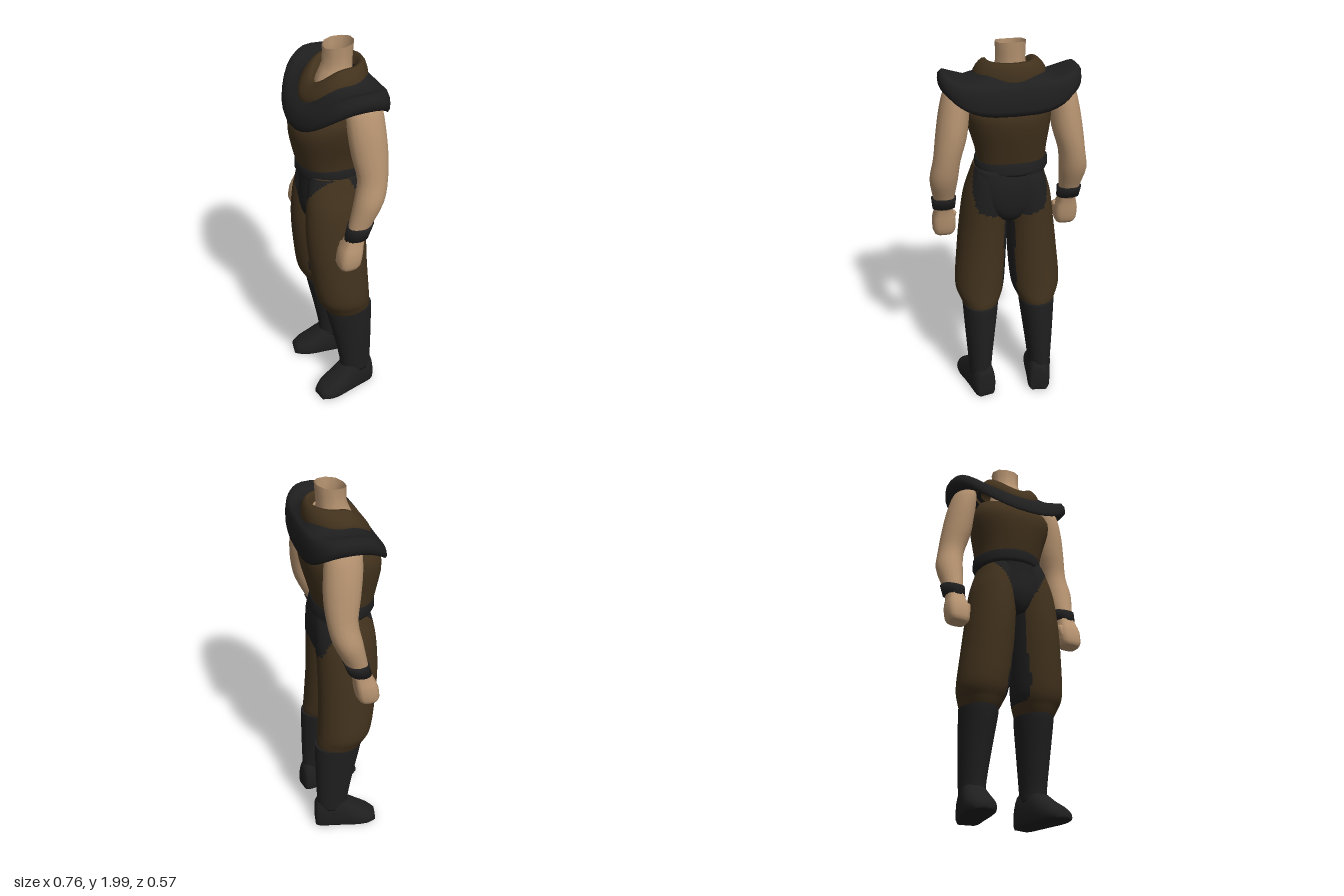
import * as THREE from 'three';

const skin = new THREE.MeshStandardMaterial({ color: 0xb79471, side: THREE.DoubleSide });
skin.name = 'skin';
const brown = new THREE.MeshStandardMaterial({ color: 0x42321d, side: THREE.DoubleSide });
brown.name = 'brown cloth';
const dark = new THREE.MeshStandardMaterial({ color: 0x1f1f1f, side: THREE.DoubleSide });
dark.name = 'dark leather';

// Horizontal ring: [x, y, z, half width, front depth, back depth, front lift, back lift]
function ring([x, y, z, w, f, b, yf = 0, yb = 0], n, power = 1, backPower = power) {
  return Array.from({ length: n }, (_, j) => {
    const a = (j / n) * Math.PI * 2, c = Math.cos(a), s = Math.sin(a);
    const soft = (v) => Math.sign(v) * Math.pow(Math.abs(v), s > 0 ? power : backPower);
    return new THREE.Vector3(x + w * soft(c), y + (s > 0 ? yf : yb) * s * s, z + (s > 0 ? f : b) * soft(s));
  });
}

// Smoothly inserts k steps between neighbouring specs
function dense(specs, k) {
  const out = [];
  for (let i = 0; i < specs.length - 1; i++) {
    const p0 = specs[Math.max(0, i - 1)], p1 = specs[i], p2 = specs[i + 1], p3 = specs[Math.min(specs.length - 1, i + 2)];
    for (let q = 0; q < k; q++) {
      const t = q / k;
      out.push(p1.map((v, m) => v + 0.5 * t * (p2[m] - p0[m] + t * (2 * p0[m] - 5 * v + 4 * p2[m] - p3[m]
        + t * (3 * (v - p2[m]) + p3[m] - p0[m])))));
    }
  }
  out.push(specs[specs.length - 1]);
  return out;
}

// Skins loops of points; pick(centre) chooses a material index for each quad
function loft(name, loops, mats, caps = true, pick = () => 0) {
  const n = loops[0].length, pts = loops.flat();
  const faces = mats.map(() => []);
  for (let i = 0; i < loops.length - 1; i++) {
    for (let j = 0; j < n; j++) {
      const a = i * n + j, b = i * n + ((j + 1) % n), c = b + n, d = a + n;
      const mid = pts[a].clone().add(pts[b]).add(pts[c]).add(pts[d]).multiplyScalar(0.25);
      faces[pick(mid)].push(a, d, c, a, c, b);
    }
  }
  if (caps) {
    for (const [start, flip] of [[0, false], [(loops.length - 1) * n, true]]) {
      const mid = new THREE.Vector3();
      for (let j = 0; j < n; j++) mid.addScaledVector(pts[start + j], 1 / n);
      const m = pts.push(mid) - 1;
      for (let j = 0; j < n; j++) {
        const a = start + j, b = start + ((j + 1) % n);
        faces[0].push(m, flip ? b : a, flip ? a : b);
      }
    }
  }
  const geo = new THREE.BufferGeometry().setFromPoints(pts);
  geo.setIndex(faces.flat());
  let at = 0;
  faces.forEach((f, m) => { geo.addGroup(at, f.length, m); at += f.length; });
  geo.computeVertexNormals();
  const mesh = new THREE.Mesh(geo, mats.length > 1 ? mats : mats[0]);
  mesh.name = name;
  return mesh;
}

const tube = (name, specs, mat, n = 24, k = 3, caps = true, power = 1, backPower = power) =>
  loft(name, dense(specs, k).map((s) => ring(s, n, power, backPower)), [mat], caps);

function makeLeg(s) {
  const leg = new THREE.Group();
  leg.name = s > 0 ? 'leftLeg' : 'rightLeg';

  // Baggy trousers with a dark brief and a dark inner panel
  const specs = [
    [s * 0.154, 0.53, -0.01, 0.082, 0.11, 0.11],
    [s * 0.152, 0.58, 0.0, 0.106, 0.13, 0.125],
    [s * 0.15, 0.66, 0.02, 0.13, 0.146, 0.138],
    [s * 0.135, 0.85, 0.035, 0.13, 0.158, 0.145],
    [s * 0.122, 1.02, 0.04, 0.124, 0.165, 0.15],
    [s * 0.108, 1.18, 0.03, 0.115, 0.168, 0.145],
    [s * 0.09, 1.29, 0.015, 0.1, 0.165, 0.125],
    [s * 0.08, 1.35, 0.01, 0.09, 0.15, 0.1],
  ];
  const pick = (p) => {
    const x = p.x * s;
    const top = p.z > 0 ? 1.04 + 1.9 * Math.abs(x) : 1.08 + 0.3 * Math.abs(x) + 2.2 * Math.max(0, p.z + 0.1);
    const inner = x < 0.062 && p.y > 0.6 && p.z < 0.14 && p.z > -0.05;
    return p.y > top || inner ? 1 : 0;
  };
  leg.add(loft('trouserLeg', dense(specs, 14).map((r) => ring(r, 64)), [brown, dark], true, pick));

  // Boot shaft
  leg.add(tube('bootShaft', [
    [s * 0.165, 0.12, -0.045, 0.062, 0.085, 0.085],
    [s * 0.165, 0.19, -0.045, 0.064, 0.086, 0.09],
    [s * 0.16, 0.36, -0.03, 0.079, 0.104, 0.108],
    [s * 0.154, 0.52, -0.014, 0.093, 0.124, 0.125],
    [s * 0.154, 0.56, -0.012, 0.094, 0.124, 0.125],
  ], dark));

  // Foot: flat-soled sections from heel to toe
  const sections = [[-0.1, 0.042, 0.13], [-0.075, 0.06, 0.18], [0.0, 0.066, 0.205], [0.07, 0.072, 0.16],
    [0.13, 0.077, 0.112], [0.19, 0.07, 0.075], [0.235, 0.042, 0.042]];
  const loops = dense(sections, 2).map(([z, w, h]) => Array.from({ length: 20 }, (_, j) => {
    const a = (j / 20) * Math.PI * 2, c = Math.cos(a);
    return new THREE.Vector3(w * Math.sign(c) * Math.pow(Math.abs(c), 0.7), Math.max(0, h * (0.3 - 0.7 * Math.sin(a))), z);
  }));
  const foot = loft('foot', loops, [dark]);
  foot.position.set(s * 0.165, 0.005, -0.045);
  foot.rotation.y = s * 0.19;
  leg.add(foot);
  if (s < 0) leg.position.z = -0.012;
  return leg;
}

function makeArm(s) {
  const arm = new THREE.Group();
  arm.name = s > 0 ? 'leftArm' : 'rightArm';
  arm.add(tube('armSkin', [
    [s * 0.325, 1.12, 0.03, 0.046, 0.05, 0.05],
    [s * 0.328, 1.2, 0.005, 0.056, 0.058, 0.058],
    [s * 0.33, 1.31, -0.035, 0.071, 0.075, 0.07],
    [s * 0.315, 1.42, -0.058, 0.068, 0.078, 0.072],
    [s * 0.29, 1.54, -0.052, 0.077, 0.092, 0.088],
    [s * 0.272, 1.66, -0.042, 0.075, 0.096, 0.092],
    [s * 0.255, 1.76, -0.035, 0.065, 0.088, 0.085],
    [s * 0.243, 1.81, -0.03, 0.045, 0.06, 0.06],
  ], skin, 18));

  // Wristband, sloping toward the front
  arm.add(tube('wristband', [
    [s * 0.327, 1.12, 0.028, 0.058, 0.062, 0.06, -0.012, 0.012],
    [s * 0.328, 1.185, 0.008, 0.064, 0.066, 0.064, -0.012, 0.012],
  ], dark, 18, 1));

  // Closed fist with a thumb
  arm.add(tube('fist', [
    [s * 0.325, 0.95, 0.075, 0.045, 0.042, 0.04],
    [s * 0.325, 0.975, 0.07, 0.058, 0.058, 0.055],
    [s * 0.325, 1.04, 0.058, 0.06, 0.062, 0.055],
    [s * 0.326, 1.09, 0.045, 0.048, 0.052, 0.048],
    [s * 0.326, 1.14, 0.03, 0.042, 0.045, 0.045],
  ], skin, 16, 2, true, 0.65));
  const thumb = new THREE.Mesh(new THREE.CapsuleGeometry(0.02, 0.05, 4, 8), skin);
  thumb.name = 'thumb';
  thumb.position.set(s * 0.28, 1.03, 0.085);
  thumb.rotation.set(-0.35, 0, s * 0.2);
  arm.add(thumb);
  return arm;
}

export function createModel() {
  const model = new THREE.Group();
  model.name = 'headlessFigure';

  // Tunic, waist and hips
  model.add(tube('tunic', [
    [-0.018, 1.36, 0.0, 0.17, 0.185, 0.105],
    [-0.014, 1.45, 0.0, 0.18, 0.21, 0.13],
    [-0.005, 1.58, 0.005, 0.208, 0.226, 0.168],
    [0, 1.66, 0.0, 0.213, 0.188, 0.168],
    [0, 1.73, 0.0, 0.18, 0.1, 0.14],
  ], brown, 28, 3, true, 0.9));
  model.add(tube('belt', [
    [-0.018, 1.325, 0.002, 0.178, 0.188, 0.125],
    [-0.018, 1.34, 0.002, 0.185, 0.197, 0.13],
    [-0.018, 1.385, 0.002, 0.184, 0.197, 0.122],
    [-0.018, 1.397, 0.002, 0.174, 0.187, 0.112],
  ], dark, 28, 1));
  model.add(tube('hips', [
    [0, 1.06, 0.03, 0.05, 0.12, 0.11],
    [0, 1.1, 0.025, 0.11, 0.15, 0.135],
    [0, 1.17, 0.022, 0.168, 0.168, 0.15],
    [-0.003, 1.27, 0.01, 0.172, 0.175, 0.142],
    [-0.01, 1.35, 0.003, 0.174, 0.182, 0.118],
  ], dark, 40, 3, true, 1, 0.75));

  for (const s of [1, -1]) model.add(makeLeg(s), makeArm(s));

  // Shoulder mantle, squarer at the back, arching over the arms to flared tips
  model.add(tube('mantle', [
    [0, 1.795, 0, 0.22, 0.2, 0.165, -0.15, -0.085],
    [-0.005, 1.775, -0.01, 0.325, 0.24, 0.178, -0.167, -0.105],
    [-0.005, 1.815, -0.01, 0.345, 0.241, 0.182, -0.17, -0.08],
    [-0.005, 1.86, -0.01, 0.325, 0.222, 0.17, -0.17, -0.06],
    [0, 1.825, -0.005, 0.22, 0.185, 0.155, -0.1, -0.005],
    [0, 1.855, 0, 0.14, 0.14, 0.13, -0.1, 0.0],
  ], dark, 40, 2, false, 0.9, 0.62));

  // Draped collar, dipping to a point at the throat
  model.add(tube('collar', [
    [-0.008, 1.82, -0.005, 0.174, 0.18, 0.15, -0.1, 0.0],
    [-0.008, 1.85, -0.005, 0.174, 0.178, 0.15, -0.1, 0.0],
    [-0.006, 1.89, -0.005, 0.145, 0.152, 0.14, -0.1, 0.005],
    [-0.005, 1.905, -0.008, 0.115, 0.12, 0.115, -0.09, 0.007],
    [-0.005, 1.87, -0.01, 0.092, 0.1, 0.09, -0.09, 0.0],
  ], brown, 28, 2, false));

  // Open neck with a dark hollow
  model.add(tube('neck', [
    [-0.01, 1.74, 0.0, 0.11, 0.115, 0.1],
    [-0.01, 1.83, -0.005, 0.09, 0.095, 0.085],
    [-0.01, 1.9, -0.015, 0.073, 0.074, 0.072],
    [-0.01, 1.987, -0.018, 0.076, 0.076, 0.076, -0.014, 0.012],
  ], skin, 10, 2, false));
  const hollow = new THREE.Mesh(new THREE.CircleGeometry(0.088, 10), dark);
  hollow.name = 'neckHollow';
  hollow.rotation.x = -Math.PI / 2;
  hollow.position.set(-0.01, 1.82, -0.005);
  model.add(hollow);

  // The figure stands turned toward its right
  model.rotation.y = -Math.PI / 6;
  const root = new THREE.Group();
  root.name = 'figure';
  root.add(model);
  return root;
}
